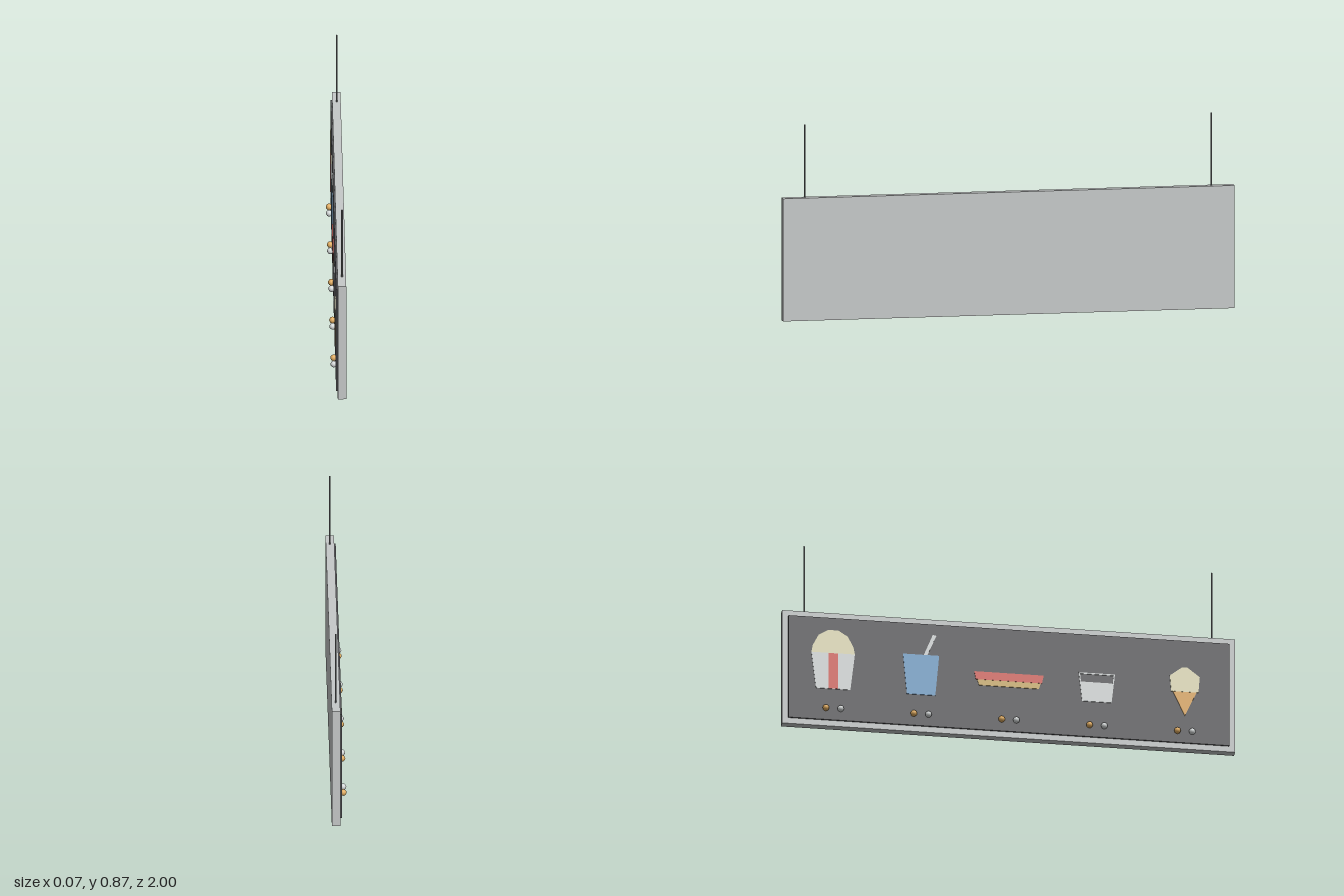
import * as THREE from 'three';

const mat = (name, color, side = THREE.FrontSide) => {
  const m = new THREE.MeshStandardMaterial({ color });
  m.name = name;
  m.side = side;
  return m;
};

export function createModel() {
  const colours = {
    frame: mat('frame grey', 0xc6c9c9),
    panel: mat('panel charcoal', 0x58585b),
    wire: mat('wire grey', 0x77797a),
    white: mat('paper white', 0xd8dcdc),
    cream: mat('cream', 0xe4e0bc),
    red: mat('red', 0xd9675f),
    blue: mat('blue', 0x76a4cc),
    gold: mat('gold', 0xe0ac60),
    bun: mat('bun tan', 0xd2b470),
    silver: mat('silver', 0xd4d8d8),
  };
  const sign = new THREE.Group();
  sign.name = 'hangingMenuBoard';

  const add = (name, geometry, material, x, y, z, parent = sign) => {
    const mesh = new THREE.Mesh(geometry, material);
    mesh.name = name;
    mesh.position.set(x, y, z);
    parent.add(mesh);
    return mesh;
  };

  // Thin plate on the -x face, outlined by [z, y] points
  const plate = (parent, name, points, material, base = 0.012, depth = 0.003, hole) => {
    const toVectors = (list) => list.map(([z, y]) => new THREE.Vector2(z, y));
    const shape = new THREE.Shape(toVectors(points));
    if (hole) shape.holes.push(new THREE.Path(toVectors(hole)));
    const geometry = new THREE.ExtrudeGeometry(shape, { depth, bevelEnabled: false });
    geometry.rotateY(-Math.PI / 2);
    return add(name, geometry, material, -base, 0, 0, parent);
  };
  // Symmetric tapered outline
  const taper = (bottom, top, y0, y1) => [[-bottom, y0], [bottom, y0], [top, y1], [-top, y1]];

  // Board, dark menu panel and hanging wires
  add('board', new THREE.BoxGeometry(0.037, 0.543, 2), colours.frame, 0.0135, 0.2715, 0);
  add('menuPanel', new THREE.BoxGeometry(0.007, 0.49, 1.946), colours.panel, -0.0085, 0.272, 0);
  for (const z of [-0.9, 0.9]) {
    add('wire', new THREE.CylinderGeometry(0.0035, 0.0035, 0.325, 8), colours.wire, 0.0145, 0.7025, z);
  }

  // One group per menu item, each with a pair of price studs
  const items = ['popcorn', 'drink', 'hotDog', 'glass', 'iceCream'].map((name, i) => {
    const group = new THREE.Group();
    group.name = name;
    group.position.z = (i - 2) * 0.388;
    sign.add(group);
    const ball = new THREE.SphereGeometry(0.0145, 12, 8);
    add('goldStud', ball, colours.gold, -0.02, 0.08, -0.033, group);
    add('silverStud', ball, colours.silver, -0.02, 0.08, 0.032, group);
    return group;
  });
  const [popcorn, drink, hotDog, glass, iceCream] = items;

  // Popcorn in a striped box
  plate(popcorn, 'popcornBox', taper(0.076, 0.096, 0.175, 0.347), colours.white);
  plate(popcorn, 'boxStripe', taper(0.021, 0.021, 0.176, 0.346), colours.red, 0.015, 0.001);
  plate(popcorn, 'popcornHeap', [
    [-0.096, 0.347], [0.096, 0.347], [0.09, 0.38], [0.065, 0.43],
    [0.022, 0.457], [-0.022, 0.457], [-0.065, 0.43], [-0.09, 0.38],
  ], colours.cream);

  // Drink cup with a slanted straw
  plate(drink, 'cup', taper(0.063, 0.08, 0.175, 0.367), colours.blue);
  plate(drink, 'straw', [[0.012, 0.367], [0.028, 0.367], [0.068, 0.462], [0.052, 0.466]], colours.white);

  // Sausage over a bun
  plate(hotDog, 'sausage', taper(0.146, 0.153, 0.266, 0.304), colours.red, 0.012, 0.004);
  plate(hotDog, 'bun', taper(0.132, 0.14, 0.239, 0.266), colours.bun);

  // Glass outline, filled below the rim
  plate(glass, 'glassFill', taper(0.065, 0.075, 0.195, 0.287), colours.white);
  plate(glass, 'glassRim', taper(0.075, 0.08, 0.287, 0.332), colours.white, 0.012, 0.003,
    [[-0.07, 0.288], [-0.074, 0.326], [0.074, 0.326], [0.07, 0.288]]);

  // Ice cream scoop on a cone
  plate(iceCream, 'cone', [[0, 0.156], [0.053, 0.272], [-0.053, 0.272]], colours.gold);
  plate(iceCream, 'scoop', [
    [-0.06, 0.27], [0.06, 0.27], [0.066, 0.345], [0.012, 0.387], [-0.012, 0.387], [-0.066, 0.345],
  ], colours.cream, 0.012, 0.004);

  return sign;
}
